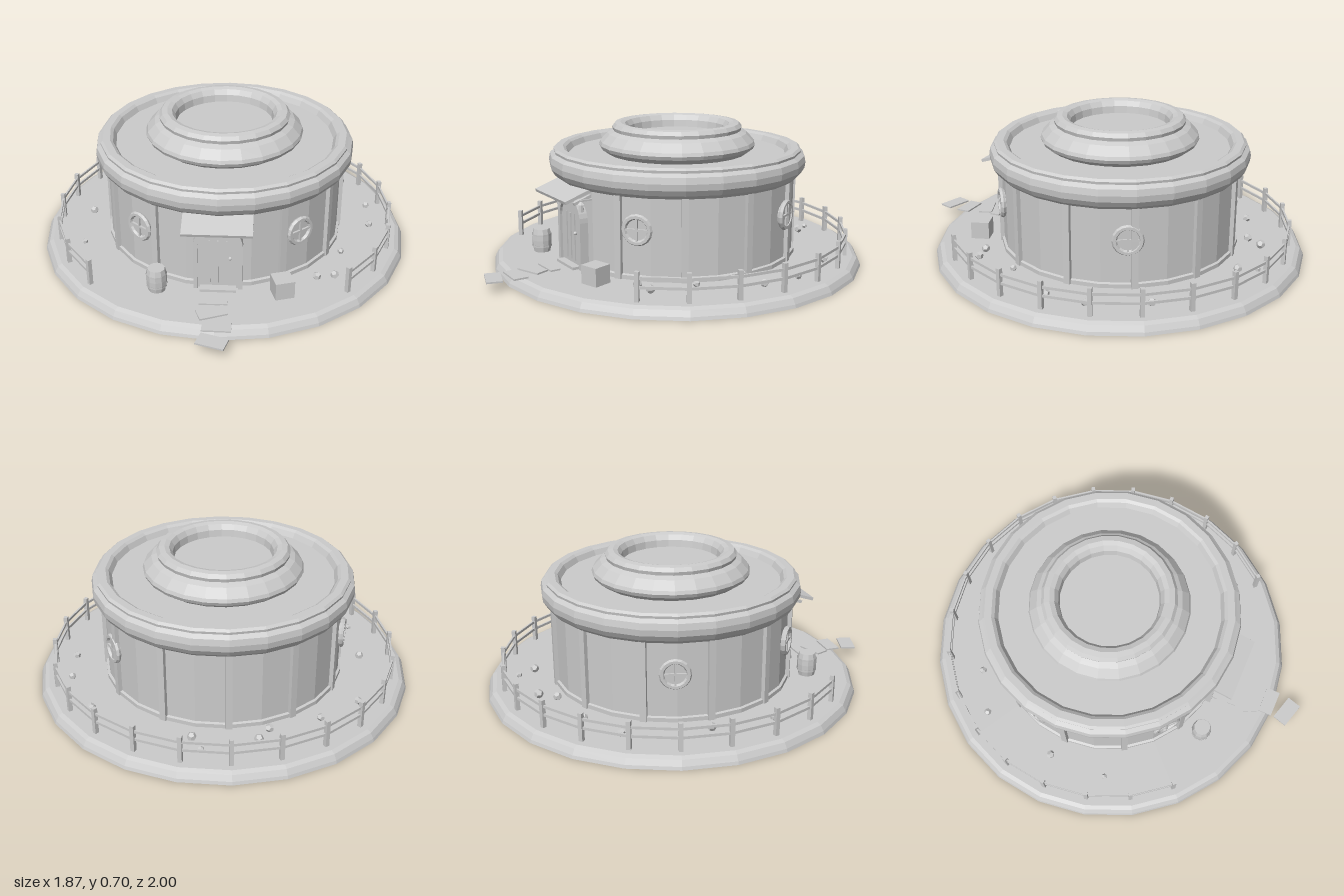
import * as THREE from 'three';

const SIDES = 24;
const ZC = -0.065; // centre of the round house and its plot
const mat = new THREE.MeshStandardMaterial({ color: 0xcccccc, flatShading: true, side: THREE.DoubleSide });

function add(parent, name, geo, x = 0, y = 0, z = 0, ry = 0, rx = 0) {
  const m = new THREE.Mesh(geo, mat);
  m.name = name;
  m.position.set(x, y, z);
  m.rotation.set(rx, ry, 0, 'YXZ');
  parent.add(m);
  return m;
}

function group(parent, name, x = 0, y = 0, z = 0, ry = 0) {
  const g = new THREE.Group();
  g.name = name;
  g.position.set(x, y, z);
  g.rotation.y = ry;
  parent.add(g);
  return g;
}

const box = (w, h, d) => new THREE.BoxGeometry(w, h, d);
const lathe = (pts, n = SIDES) => new THREE.LatheGeometry(pts.map(p => new THREE.Vector2(...p)), n);
const rad = THREE.MathUtils.degToRad;

// Round-topped door outline standing on y = 0
function archShape(r, h) {
  const s = new THREE.Shape();
  s.moveTo(-r, 0);
  s.lineTo(r, 0);
  s.lineTo(r, h - r);
  s.absarc(0, h - r, r, 0, Math.PI, false);
  s.lineTo(-r, 0);
  return s;
}
const extrude = (s, depth) => new THREE.ExtrudeGeometry(s, { depth, bevelEnabled: false, curveSegments: 8 });

// Round window with a ring, pane and crossed bars, facing +z
function roundWindow(parent, deg) {
  const a = rad(deg);
  const g = group(parent, 'window', Math.sin(a) * 0.588, 0.29, Math.cos(a) * 0.588, a);
  add(g, 'windowFrame', new THREE.TorusGeometry(0.062, 0.013, 6, 16), 0, 0, 0.012);
  add(g, 'windowPane', new THREE.CylinderGeometry(0.06, 0.06, 0.02, 16), 0, 0, 0, 0, Math.PI / 2);
  add(g, 'windowBar', box(0.12, 0.01, 0.012), 0, 0, 0.014);
  add(g, 'windowBar', box(0.01, 0.12, 0.012), 0, 0, 0.014);
}

function buildFence(parent) {
  const fence = group(parent, 'fence');
  const r = 0.855, step = rad(15);
  const railLength = 2 * r * Math.sin(step / 2);
  for (let i = 0; i < 19; i++) {
    const a = rad(45) + i * step;
    add(fence, 'fencePost', box(0.02, 0.135, 0.02), Math.sin(a) * r, 0.1175, Math.cos(a) * r, a);
    if (i === 18) continue;
    const m = a + step / 2, rm = r * Math.cos(step / 2);
    for (const y of [0.113, 0.155]) {
      add(fence, 'fenceRail', box(railLength, 0.013, 0.009), Math.sin(m) * rm, y, Math.cos(m) * rm, m);
    }
  }
}

function buildDoor(parent) {
  const door = group(parent, 'door', 0, 0.05, 0.55);
  const frame = archShape(0.115, 0.345);
  frame.holes.push(archShape(0.095, 0.325));
  add(door, 'doorFrame', extrude(frame, 0.068));
  add(door, 'doorPanel', extrude(archShape(0.097, 0.326), 0.055));
  for (const x of [-0.04, 0, 0.04]) add(door, 'doorBatten', box(0.007, 0.23, 0.008), x, 0.145, 0.057);
  add(door, 'doorKnob', new THREE.IcosahedronGeometry(0.009, 1), 0.057, 0.17, 0.064);
  add(door, 'doorStep', box(0.17, 0.014, 0.07), 0, 0.006, 0.06);
  // Sloping porch roof with brackets
  add(door, 'awning', box(0.32, 0.015, 0.14), 0, 0.372, 0.095, 0, 0.32);
  for (const x of [-0.135, 0.135]) add(door, 'awningBracket', box(0.014, 0.014, 0.1), x, 0.35, 0.06, 0, 0.32);
  // Hanging lantern
  const lantern = group(door, 'lantern', 0.147, 0.315, 0.075);
  add(lantern, 'lanternBody', new THREE.CylinderGeometry(0.012, 0.014, 0.035, 6));
  add(lantern, 'lanternCap', new THREE.ConeGeometry(0.02, 0.016, 6), 0, 0.025);
  add(lantern, 'lanternArm', box(0.008, 0.008, 0.07), 0, 0.033, -0.03);
}

export function createModel() {
  const model = new THREE.Group();
  model.name = 'roundHouse';
  const plot = group(model, 'plot', 0, 0, ZC);

  // Ground disc
  add(plot, 'ground', lathe([[0, 0], [0.935, 0], [0.93, 0.015], [0.915, 0.04], [0.895, 0.05], [0, 0.05]]));

  // Wall, skirting and posts
  add(plot, 'wall', new THREE.CylinderGeometry(0.59, 0.59, 0.42, SIDES, 1, true), 0, 0.25);
  add(plot, 'skirting', lathe([[0.59, 0.05], [0.602, 0.05], [0.602, 0.07], [0.59, 0.074]]));
  for (let i = 1; i < 12; i++) {
    const a = rad(i * 30);
    add(plot, 'wallPost', box(0.032, 0.4, 0.032), Math.sin(a) * 0.592, 0.25, Math.cos(a) * 0.592, a);
  }

  // Rounded roof rim around a sunken flat roof
  add(plot, 'roofRim', lathe([
    [0.57, 0.44], [0.605, 0.44], [0.625, 0.458], [0.642, 0.485], [0.646, 0.515], [0.64, 0.545],
    [0.62, 0.56], [0.622, 0.572], [0.61, 0.582], [0.575, 0.582], [0.56, 0.572], [0.545, 0.545], [0, 0.545],
  ]));
  // Raised ring with a sunken centre
  add(plot, 'roofRing', lathe([
    [0.35, 0.545], [0.385, 0.57], [0.393, 0.588], [0.387, 0.605], [0.35, 0.645], [0.335, 0.652],
    [0.322, 0.658], [0.326, 0.675], [0.312, 0.693], [0.285, 0.697], [0.262, 0.69], [0.245, 0.665],
    [0.24, 0.63], [0, 0.63],
  ]));

  for (const deg of [39, -39, 117, -106]) roundWindow(plot, deg);
  buildDoor(plot);
  buildFence(plot);

  // Barrel with hoops
  const barrel = group(model, 'barrel', -0.285, 0.05, 0.565);
  add(barrel, 'barrelBody', lathe([[0, 0], [0.041, 0], [0.048, 0.035], [0.049, 0.06], [0.048, 0.085], [0.041, 0.118], [0, 0.118]], 10));
  for (const y of [0.03, 0.088]) add(barrel, 'barrelHoop', new THREE.CylinderGeometry(0.05, 0.05, 0.009, 10, 1, true), 0, y);

  // Crate
  add(model, 'crate', box(0.092, 0.088, 0.092), 0.3, 0.094, 0.573, rad(17));

  // Path of flat stones: x, z, depth, turn
  for (const [x, z, d, turn] of [[-0.015, 0.655, 0.05, 2], [-0.018, 0.74, 0.07, 21], [0.01, 0.838, 0.07, -1], [-0.004, 0.942, 0.075, -17]]) {
    add(model, 'pathStone', box(0.132, 0.008, d), x, 0.054, z, rad(turn));
  }

  // Small rocks around the garden: x, z, radius
  const rocks = [
    [-0.13, -0.775, 0.023], [-0.185, -0.695, 0.021], [0.13, -0.83, 0.015], [0.17, -0.745, 0.022],
    [-0.43, -0.62, 0.019], [-0.625, -0.497, 0.019], [-0.7, -0.1, 0.021], [-0.695, 0.2, 0.015],
    [0.64, -0.497, 0.02], [0.757, -0.23, 0.018], [0.755, -0.035, 0.019], [0.593, 0.222, 0.016],
    [0.55, 0.437, 0.021], [0.465, 0.452, 0.021],
  ];
  rocks.forEach(([x, z, r], i) => add(model, 'rock', new THREE.DodecahedronGeometry(r, 0), x, 0.052 + r * 0.85, z, i));

  return model;
}
